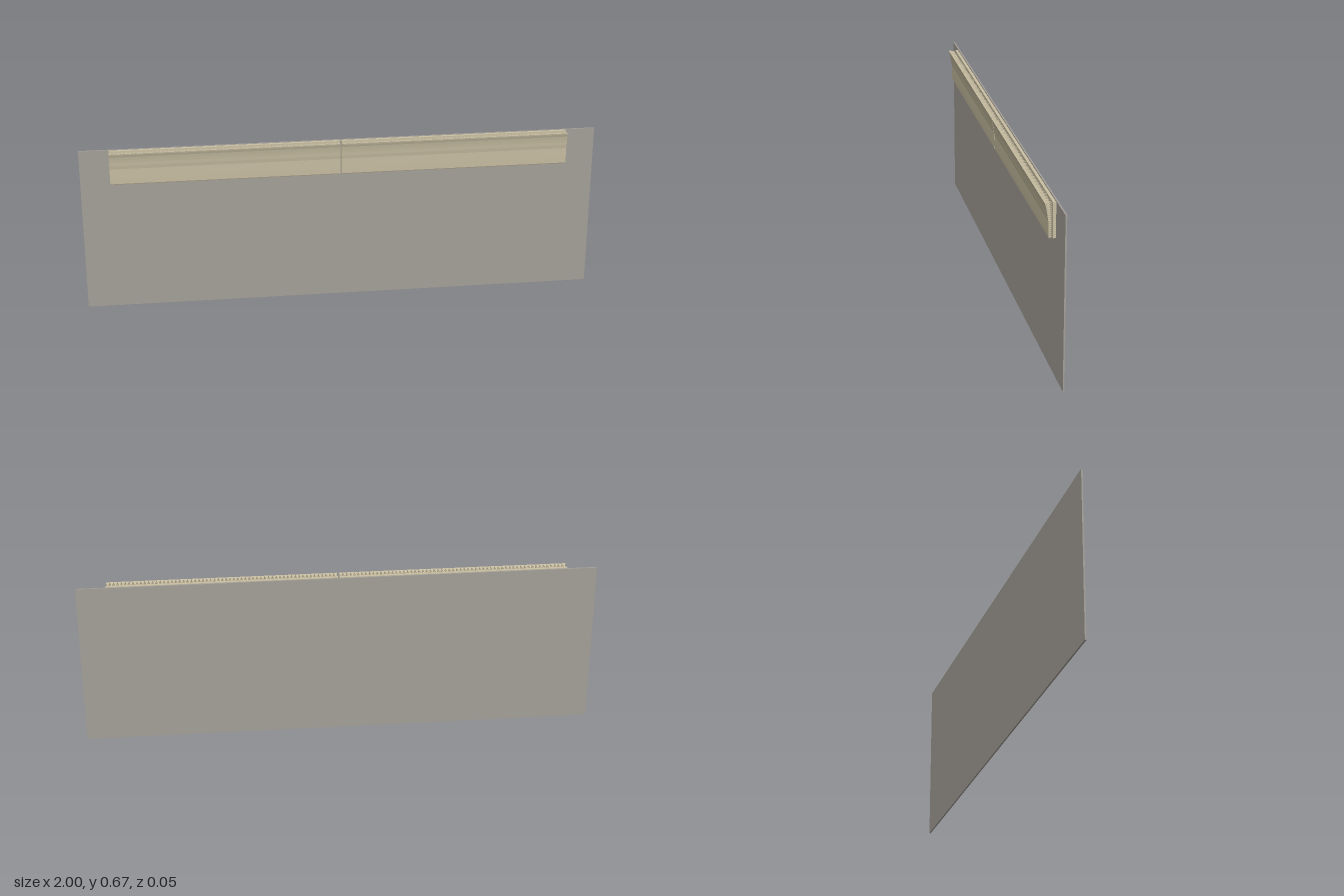
import * as THREE from 'three';

const TOP = 0.665, BOTTOM = 0.533, TIP_Z = -0.003;

// Front face of the strip as [z, y], bottom to top
const FRONT = [
  [0.009, BOTTOM], [0.0105, 0.536], [0.0115, 0.56], [0.0125, 0.598], [0.015, 0.612],
  [0.0165, 0.626], [0.0185, 0.638], [0.021, 0.65], [0.0245, 0.66], [0.0255, TOP],
];
const SKIN = 0.002;

function frontZ(y) {
  for (let i = 1; i < FRONT.length; i++) {
    const [z0, y0] = FRONT[i - 1], [z1, y1] = FRONT[i];
    if (y <= y1) return z0 + (z1 - z0) * (y - y0) / (y1 - y0);
  }
  return FRONT[FRONT.length - 1][0];
}

// Thin moulded skin, its section swept along x
function skinGeometry(x0, x1) {
  const back = FRONT.map(([z, y]) => [z - SKIN, y]).reverse();
  const shape = new THREE.Shape([...FRONT, ...back].map(([z, y]) => new THREE.Vector2(z, y)));
  const geo = new THREE.ExtrudeGeometry(shape, { depth: x1 - x0, bevelEnabled: false });
  return geo.rotateY(-Math.PI / 2).translate(x1, 0, 0);
}

// Grid of pyramids pointing backwards from the skin
function spikeGeometry(x0, x1, columns, rows) {
  const positions = [];
  const dx = (x1 - x0) / columns, dy = (TOP - BOTTOM) / rows;
  for (let r = 0; r < rows; r++) {
    const ya = BOTTOM + r * dy, yb = ya + dy;
    const za = frontZ(ya) - SKIN, zb = frontZ(yb) - SKIN;
    for (let c = 0; c < columns; c++) {
      const xa = x0 + c * dx, xb = xa + dx;
      const tip = [xa + dx / 2, ya + dy / 2, TIP_Z];
      const base = [[xa, yb, zb], [xb, yb, zb], [xb, ya, za], [xa, ya, za]];
      base.forEach((p, i) => positions.push(...p, ...base[(i + 1) % 4], ...tip));
    }
  }
  const geo = new THREE.BufferGeometry();
  geo.setAttribute('position', new THREE.Float32BufferAttribute(positions, 3));
  geo.computeVertexNormals();
  return geo;
}

export function createModel() {
  const group = new THREE.Group();
  const grey = new THREE.MeshStandardMaterial({ color: 0xa39e97 });
  grey.name = 'warm grey';
  const tan = new THREE.MeshStandardMaterial({ color: 0xc8bea2 });
  tan.name = 'pale tan';

  function add(parent, name, geometry, material) {
    const mesh = new THREE.Mesh(geometry, material);
    mesh.name = name;
    parent.add(mesh);
  }

  // Large backing panel
  add(group, 'panel', new THREE.BoxGeometry(2, TOP, 0.006).translate(0, TOP / 2, -0.021), grey);

  // Two moulded strips side by side, with a narrow gap between them
  for (const side of [-1, 1]) {
    const strip = new THREE.Group();
    strip.name = side > 0 ? 'leftStrip' : 'rightStrip';
    const x0 = side > 0 ? 0.003 : -0.885, x1 = side > 0 ? 0.885 : -0.003;
    add(strip, 'mouldedFront', skinGeometry(x0, x1), tan);
    add(strip, 'rearSpikes', spikeGeometry(x0, x1, 60, 18), tan);
    add(strip, 'mountingBoard', new THREE.BoxGeometry(x1 - x0, TOP - BOTTOM, 0.011)
      .translate((x0 + x1) / 2, (TOP + BOTTOM) / 2, -0.0095), tan);
    group.add(strip);
  }
  return group;
}
